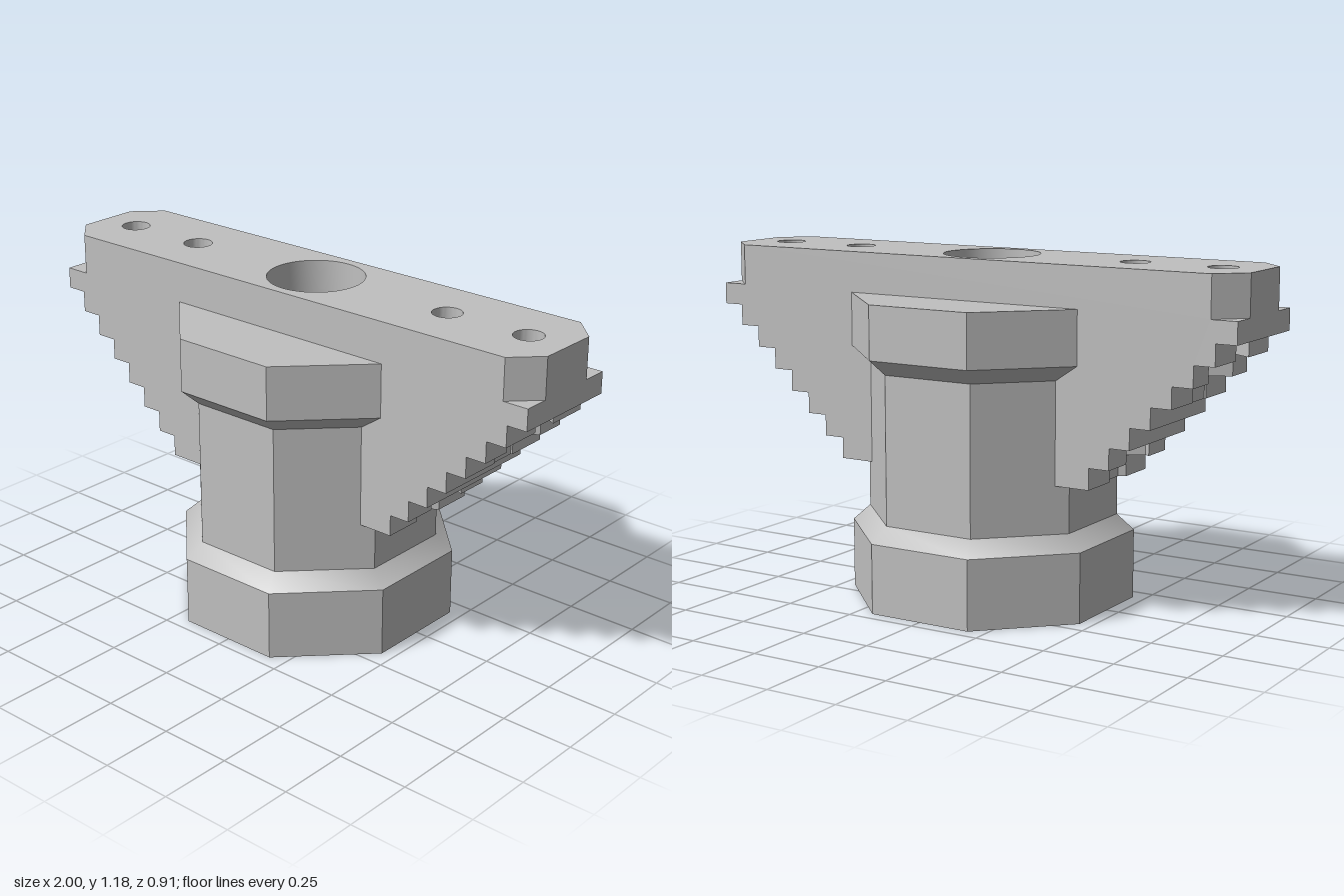
import * as THREE from 'three';
import { mergeGeometries, toCreasedNormals } from 'three/addons/utils/BufferGeometryUtils.js';

const HALF_Z = 0.2, TOP = 1.18, SHELF = 1.04;      // bar half depth, top, underside of top plate
const STEP = 0.073, STEP_X = 0.49, STEP_Y = 0.455; // stair pitch and lowest step
const BORE = 0.165, SCREW_R = 0.05, NUT_R = 0.09;
const NUT_A = NUT_R * Math.cos(Math.PI / 6);
const SCREWS = [0.545, 0.855];
const OCT = 1 / Math.cos(Math.PI / 8);             // apothem to corner radius

const poly = (pts) => new THREE.Shape(pts.map(([x, y]) => new THREE.Vector2(x, y)));
const circle = (x, r) => new THREE.Path().absarc(x, 0, r, 0, Math.PI * 2, true);
const ring = (n, r, cx = 0, turn = 0) => Array.from({ length: n }, (_, i) => {
  const a = turn + (i / n) * Math.PI * 2;
  return [cx + r * Math.cos(a), r * Math.sin(a)];
});

// Upright prism from a plan outline
function prism(shape, y0, y1) {
  return new THREE.ExtrudeGeometry(shape, { depth: y1 - y0, bevelEnabled: false, curveSegments: 24 })
    .rotateX(-Math.PI / 2).translate(0, y0, 0);
}

// Join pieces into one geometry with sharp edges kept
function join(list) {
  const clean = list.map((g) => {
    const n = g.index ? g.toNonIndexed() : g;
    n.deleteAttribute('uv');
    n.clearGroups();
    return n;
  });
  return toCreasedNormals(mergeGeometries(clean), 0.6);
}

// Drop the long side faces, which are replaced by one whole profile face
function withoutSides(g) {
  const p = g.attributes.position, keep = [];
  for (let i = 0; i < p.count; i += 3) {
    const z = [0, 1, 2].map((k) => p.getZ(i + k));
    if (z.every((v) => v > HALF_Z - 1e-4) || z.every((v) => v < -HALF_Z + 1e-4)) continue;
    for (let k = 0; k < 3; k++) keep.push(p.getX(i + k), p.getY(i + k), p.getZ(i + k));
  }
  const out = new THREE.BufferGeometry();
  out.setAttribute('position', new THREE.Float32BufferAttribute(keep, 3));
  out.computeVertexNormals();
  return out;
}

// Plan of one stair layer ending at x = end, cut by the hexagonal nut pockets
function layerShape(end) {
  const pts = [[0.3, -HALF_Z], [end, -HALF_Z]], holes = [];
  for (const c of SCREWS) {
    if (end > c + NUT_A) {
      holes.push(poly(ring(6, NUT_R, c, Math.PI / 2)));
    } else if (end > c - NUT_A) {
      const w = NUT_R - Math.abs(end - c) / Math.sqrt(3);
      const half = [[end, w]];
      if (end > c + 0.002) half.push([c, NUT_R]);
      half.push([c - NUT_A, NUT_R / 2]);
      pts.push(...half.map(([x, z]) => [x, -z]), ...half.reverse());
    }
  }
  pts.push([end, HALF_Z], [0.3, HALF_Z]);
  const s = poly(pts);
  s.holes.push(...holes);
  return s;
}

function barGeometry() {
  const parts = [];
  const edge = [];
  // Stair layers on both arms
  for (let k = 0; k < 8; k++) {
    const end = Math.min(1, STEP_X + STEP * k), y0 = STEP_Y + STEP * k;
    const y1 = k === 7 ? SHELF : y0 + STEP;
    const g = withoutSides(prism(layerShape(end), y0, y1));
    parts.push(g, g.clone().rotateY(Math.PI));
    edge.push([end, y0], [end, y1]);
  }
  // Top plate with clipped corners, screw holes and bore
  const cx = 0.91, cz = 0.11;
  const plate = poly([[-cx, -HALF_Z], [cx, -HALF_Z], [1, -cz], [1, cz],
    [cx, HALF_Z], [-cx, HALF_Z], [-1, cz], [-1, -cz]]);
  plate.holes.push(circle(0, BORE));
  for (const c of SCREWS) plate.holes.push(circle(c, SCREW_R), circle(-c, SCREW_R));
  parts.push(withoutSides(prism(plate, SHELF, TOP)));
  // Long side faces
  edge.push([cx, SHELF], [cx, TOP]);
  const mirrored = edge.map(([x, y]) => [-x, y]).reverse();
  const side = new THREE.ShapeGeometry(poly([...edge, ...mirrored])).translate(0, 0, HALF_Z);
  parts.push(side, side.clone().rotateY(Math.PI));
  return join(parts);
}

function columnGeometry() {
  // Octagonal outside with flared foot and cap
  const outer = [[0.455, 0], [0.455, 0.24], [0.4, 0.293], [0.4, 0.803], [0.455, 0.856], [0.455, SHELF]]
    .map(([a, y]) => new THREE.Vector2(a * OCT, y));
  const wall = new THREE.LatheGeometry(outer, 8, Math.PI / 8);
  const face = (hole) => {
    const s = poly(ring(8, 0.455 * OCT, 0, Math.PI / 8));
    s.holes.push(circle(0, hole));
    return new THREE.ShapeGeometry(s, 32);
  };
  return join([wall, face(BORE).rotateX(-Math.PI / 2).translate(0, SHELF, 0),
    face(0.42).rotateX(Math.PI / 2)]);
}

function boreGeometry() {
  // Stepped bore opening into a conical mouth
  const pts = [[BORE, SHELF], [BORE, 0.275], [0.2, 0.275], [0.2, 0.125], [0.295, 0.125], [0.42, 0]]
    .map(([r, y]) => new THREE.Vector2(r, y));
  return join([new THREE.LatheGeometry(pts, 64)]);
}

export function createModel() {
  const grey = new THREE.MeshStandardMaterial({ color: 0xc0c0c0 });
  grey.name = 'plain grey';
  const group = new THREE.Group();
  group.name = 'bracket';
  const parts = { column: columnGeometry(), bore: boreGeometry(), steppedBar: barGeometry() };
  for (const [name, geometry] of Object.entries(parts)) {
    const mesh = new THREE.Mesh(geometry, grey);
    mesh.name = name;
    group.add(mesh);
  }
  return group;
}
